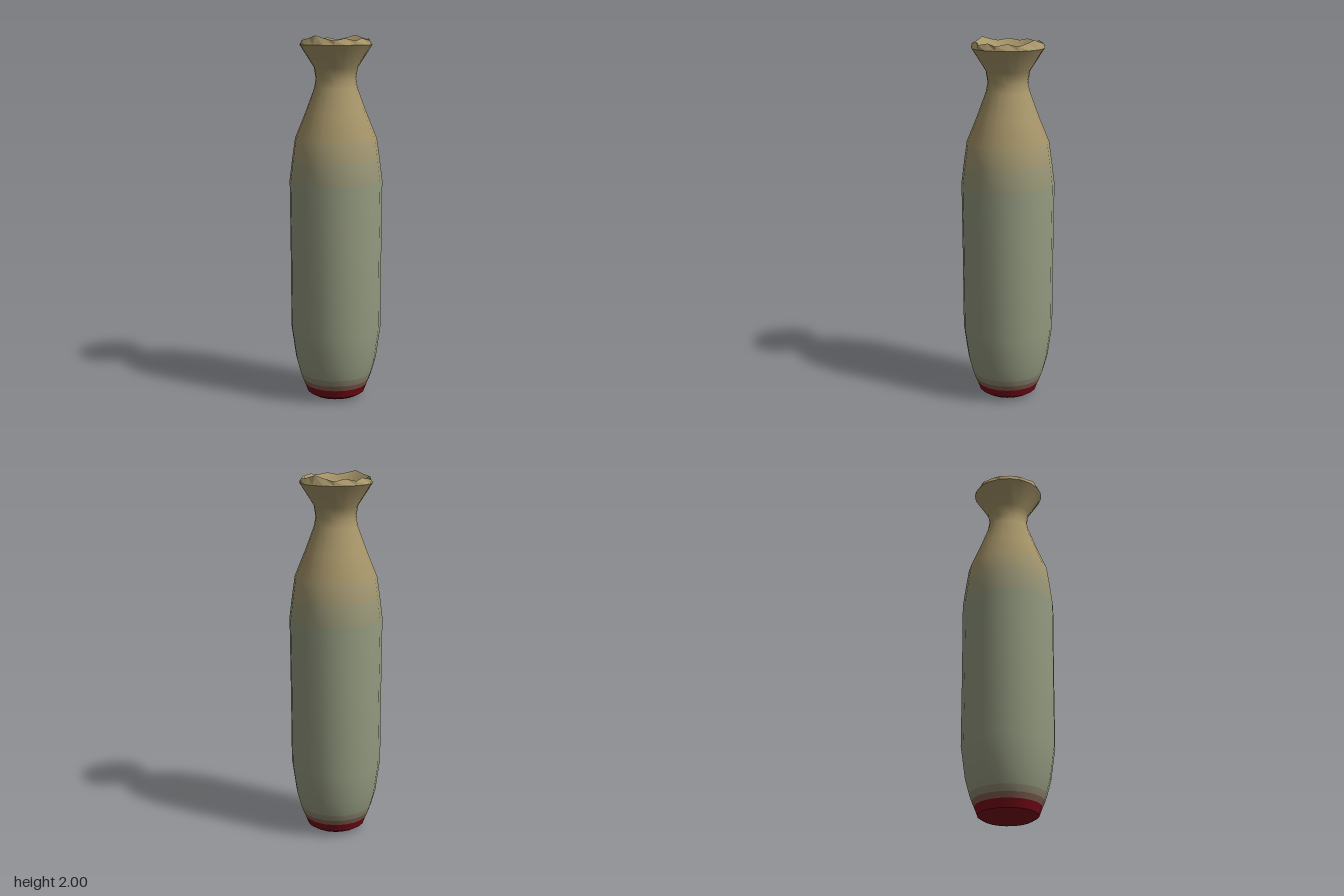
import * as THREE from 'three';

const SIDES = 20;
const RED = new THREE.Color(0x7a0a18);
const SAGE = new THREE.Color(0x949a80);
const TAN = new THREE.Color(0xa8966a);
const mix = (a, b, t) => a.clone().lerp(b, t);

const lathe = (points) =>
  new THREE.LatheGeometry(points.map(([r, y]) => new THREE.Vector2(r, y)), SIDES);

function part(name, geometry, color, flatShading = false) {
  const material = new THREE.MeshStandardMaterial({ color, flatShading, side: THREE.DoubleSide });
  const mesh = new THREE.Mesh(geometry, material);
  mesh.name = name;
  return mesh;
}

// One band of a lathe, keeping the smooth normals of the whole profile
function band(geometry, pointCount, from, to) {
  const rows = pointCount - 1;
  const kept = Array.from(geometry.index.array).filter((_, i) => {
    const row = Math.floor(i / 6) % rows;
    return row >= from && row < to;
  });
  const result = geometry.clone();
  result.setIndex(kept);
  return result;
}

// Scalloped rim: radius and height at each of the 20 sides
function rimPoint(i) {
  const k = i % (SIDES / 2);
  if (k === 0) return [0.172, 2.0];
  return k % 2 ? [0.172, 1.985] : [0.19, 1.973];
}

// Moves one ring of a lathe onto the scalloped rim
function scallop(geometry, pointCount, ring) {
  const pos = geometry.attributes.position;
  for (let i = 0; i <= SIDES; i++) {
    const [r, y] = rimPoint(i);
    const a = (i / SIDES) * Math.PI * 2;
    pos.setXYZ(i * pointCount + ring, r * Math.sin(a), y, r * Math.cos(a));
  }
  return geometry;
}

export function createModel() {
  const group = new THREE.Group();
  group.name = 'vase';

  // Outer wall, bottom to top
  const profile = [
    [0.16, 0.03], [0.177, 0.075], [0.19, 0.105], [0.202, 0.14], [0.224, 0.22],
    [0.249, 0.4], [0.25, 0.8], [0.253, 1.22], [0.238, 1.34], [0.222, 1.45],
    [0.165, 1.59], [0.117, 1.72], [0.108, 1.77], [0.118, 1.83], [0.195, 1.95],
  ];
  const wall = lathe(profile);
  // Glaze bands: name, first and last profile point, colour
  const bands = [
    ['footBand', 0, 1, RED],
    ['footFadeLower', 1, 2, mix(RED, SAGE, 0.35)],
    ['footFadeUpper', 2, 3, mix(RED, SAGE, 0.75)],
    ['body', 3, 7, SAGE],
    ['shoulderFadeLower', 7, 8, mix(SAGE, TAN, 0.35)],
    ['shoulderFadeUpper', 8, 9, mix(SAGE, TAN, 0.7)],
    ['shoulderAndNeck', 9, 14, TAN],
  ];
  for (const [name, from, to, color] of bands) {
    group.add(part(name, band(wall, profile.length, from, to), color));
  }

  // Slightly domed underside
  group.add(part('base', lathe([[0, 0], [0.13, 0.012], [0.16, 0.03]]), RED));

  // Scalloped lip and the funnel inside the mouth
  group.add(part('lip', scallop(lathe([[0.195, 1.95], [0.18, 1.985]]), 2, 1), TAN, true));
  group.add(part('mouthFunnel', scallop(lathe([[0.18, 1.985], [0, 1.78]]), 2, 0), TAN));

  return group;
}
